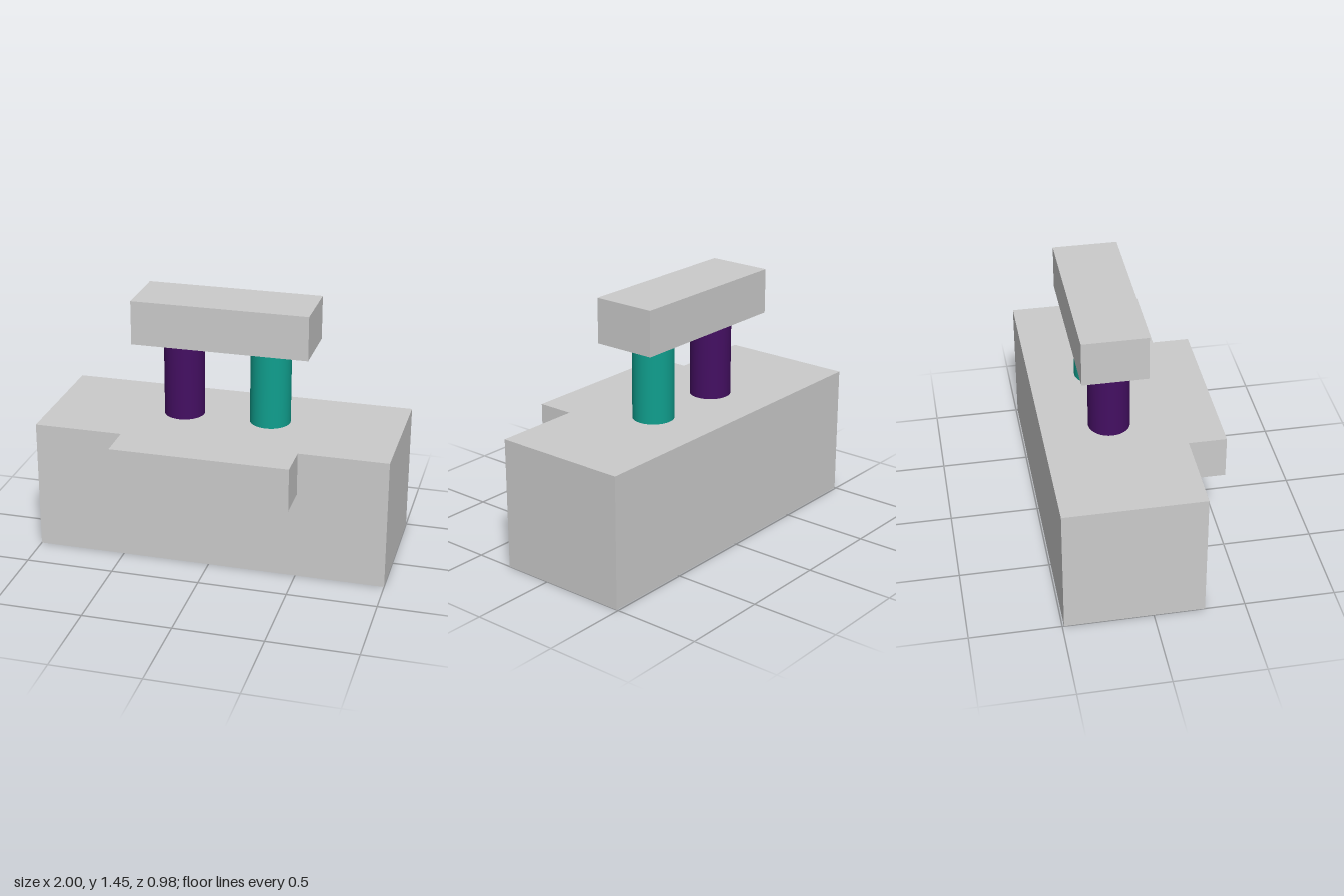
import * as THREE from 'three';

const grey = new THREE.MeshStandardMaterial({ color: 0xcccccc });
const greyShell = new THREE.MeshStandardMaterial({ color: 0xcccccc, side: THREE.DoubleSide });

// Box given by its lower and upper corners
function box(name, [x0, y0, z0], [x1, y1, z1], material = grey) {
  const mesh = new THREE.Mesh(new THREE.BoxGeometry(x1 - x0, y1 - y0, z1 - z0), material);
  mesh.name = name;
  mesh.position.set((x0 + x1) / 2, (y0 + y1) / 2, (z0 + z1) / 2);
  return mesh;
}

// Upright post standing on the base
function post(name, x, color) {
  const bottom = 0.745, top = 1.185;
  const mesh = new THREE.Mesh(
    new THREE.CylinderGeometry(0.115, 0.115, top - bottom, 32),
    new THREE.MeshStandardMaterial({ color })
  );
  mesh.name = name;
  mesh.position.set(x, (bottom + top) / 2, -0.115);
  return mesh;
}

export function createModel() {
  const model = new THREE.Group();

  // Base block with a ledge flush with its top
  model.add(box('base', [-1, 0, -0.49], [1, 0.745, 0.28]));
  model.add(box('frontLedge', [-0.5, 0.5, 0.28], [0.5, 0.745, 0.49]));

  // Coloured posts
  model.add(post('rightPost', -0.245, 0x440f62));
  model.add(post('leftPost', 0.255, 0x109f8e));

  // Top cover: a thin shell, open underneath
  const cover = box('topCover', [-0.5, 1.193, -0.3], [0.5, 1.445, 0.06], greyShell);
  const faces = Array.from(cover.geometry.index.array);
  faces.splice(18, 6); // the downward face
  cover.geometry.setIndex(faces);
  cover.geometry.clearGroups();
  model.add(cover);

  return model;
}
